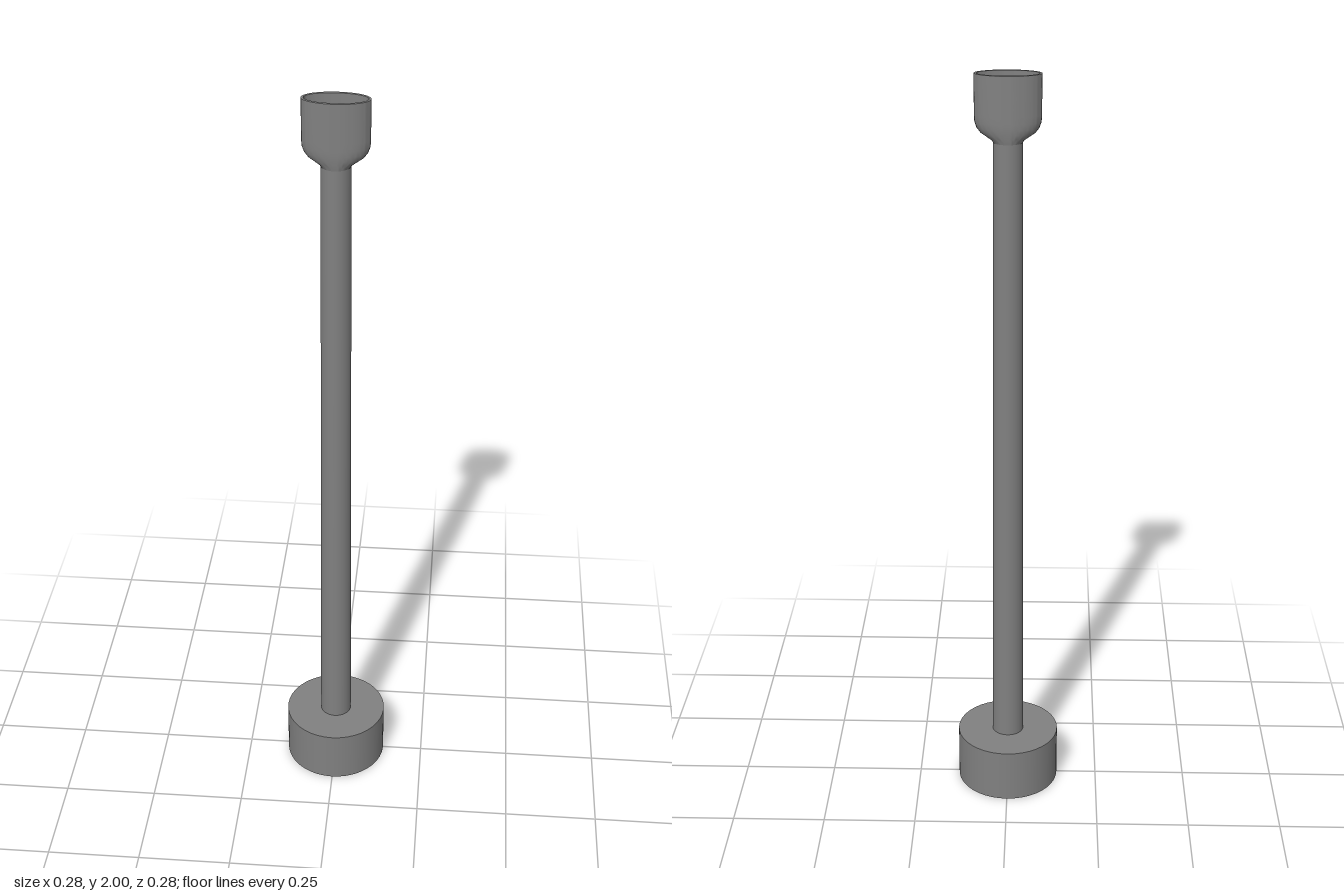
import * as THREE from 'three';
import { toCreasedNormals } from 'three/addons/utils/BufferGeometryUtils.js';

// Lofts elliptical rings [y, radiusX, radiusZ], from the bottom up and over the rim.
function loftEllipses(rings, segments) {
  const points = rings.map(([y, rx]) => new THREE.Vector2(rx, y));
  const geometry = new THREE.LatheGeometry(points, segments);
  const position = geometry.attributes.position;
  for (let i = 0; i < position.count; i++) {
    const [, rx, rz] = rings[i % rings.length];
    if (rx > 0) position.setZ(i, position.getZ(i) * rz / rx);
  }
  return toCreasedNormals(geometry, 0.7);
}

export function createModel() {
  const model = new THREE.Group();
  const metal = new THREE.MeshStandardMaterial({ color: 0x808080 });
  metal.name = 'grey metal';

  const add = (name, geometry, y = 0) => {
    const mesh = new THREE.Mesh(geometry, metal);
    mesh.name = name;
    mesh.position.y = y;
    model.add(mesh);
  };

  // Heavy round base
  add('base', new THREE.CylinderGeometry(0.139, 0.139, 0.148, 40), 0.074);

  // Slightly tapered shaft
  add('shaft', new THREE.CylinderGeometry(0.037, 0.043, 1.69, 40, 1, true), 0.148 + 0.845);

  // Flattened cup: rounded shoulder, straight wall, thin rim, hollow inside
  add('cup', loftEllipses([
    [1.832, 0.037, 0.037],
    [1.838, 0.041, 0.038],
    [1.846, 0.053, 0.039],
    [1.856, 0.068, 0.04],
    [1.868, 0.077, 0.041],
    [1.882, 0.082, 0.041],
    [1.9, 0.083, 0.041],
    [2, 0.083, 0.041],
    [2, 0.077, 0.033],
    [1.9, 0.077, 0.033],
    [1.9, 0, 0],
  ], 64));

  return model;
}
